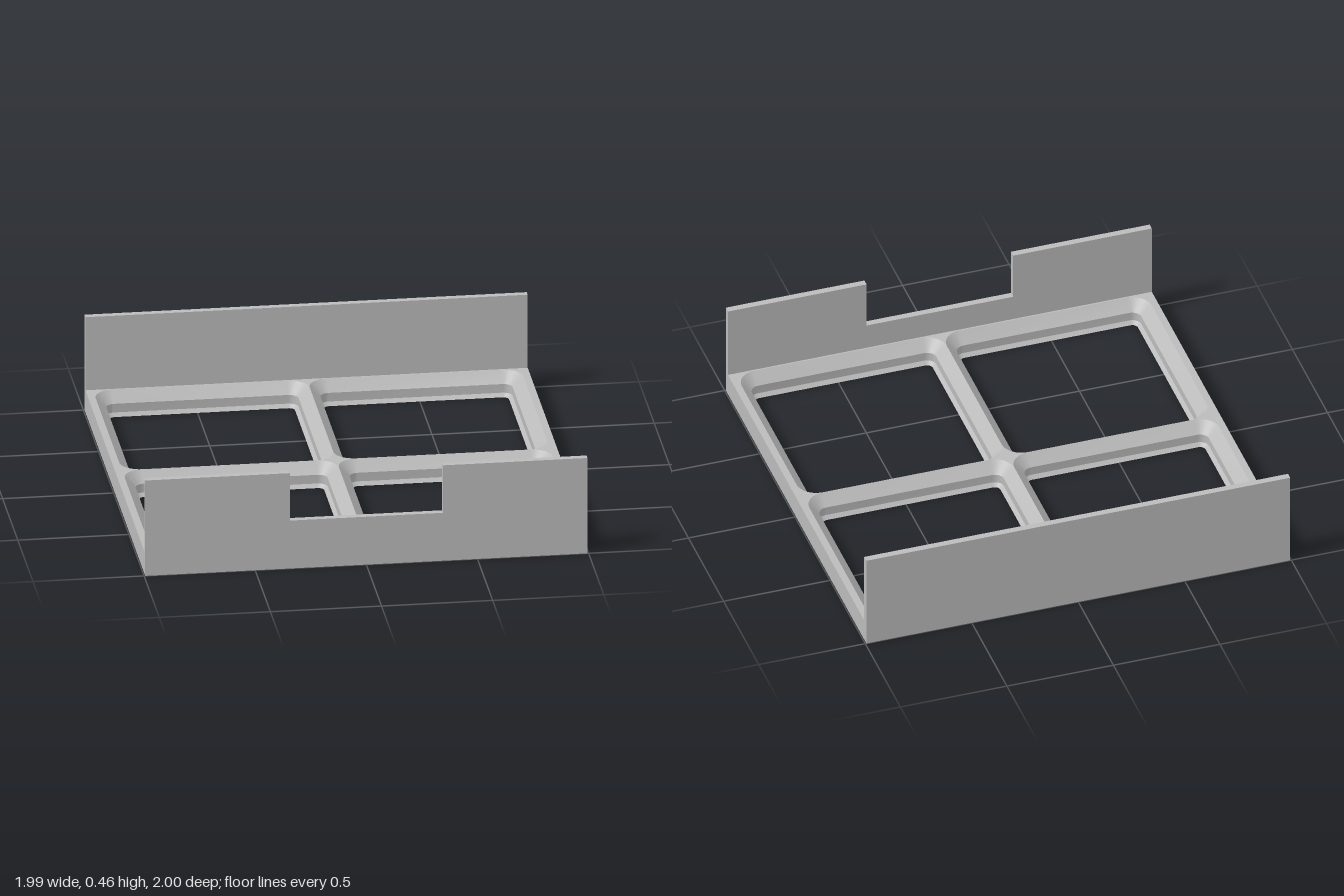
import * as THREE from 'three';
import { toCreasedNormals } from 'three/addons/utils/BufferGeometryUtils.js';

const HALF_X = 0.995, HALF_Z = 1;
const CELL = 0.963;         // pitch of one pocket
const PLATE_H = 0.107;
const WALL_H = 0.458, WALL_T = 0.031;

// Counter-clockwise rounded square contour seen from above
function roundedSquare(cx, cy, half, r) {
  const points = [], segments = 8;
  for (let corner = 0; corner < 4; corner++) {
    const sx = corner === 0 || corner === 3 ? 1 : -1;
    const sy = corner < 2 ? 1 : -1;
    for (let i = 0; i <= segments; i++) {
      const a = (corner + i / segments) * Math.PI / 2;
      points.push(new THREE.Vector2(
        cx + sx * (half - r) + r * Math.cos(a),
        cy + sy * (half - r) + r * Math.sin(a)));
    }
  }
  return points;
}

// Skin between stacked contours: rising rings face out, falling rings face in
function loft(rings) {
  const n = rings[0].points.length, positions = [], index = [];
  for (const { points, y } of rings) {
    for (const p of points) positions.push(p.x, y, -p.y);
  }
  for (let k = 0; k < rings.length - 1; k++) {
    for (let i = 0; i < n; i++) {
      const a = k * n + i, b = k * n + (i + 1) % n;
      index.push(a, b, b + n, a, b + n, a + n);
    }
  }
  const geometry = new THREE.BufferGeometry();
  geometry.setAttribute('position', new THREE.Float32BufferAttribute(positions, 3));
  geometry.setIndex(index);
  return toCreasedNormals(geometry, 0.5);
}

export function createModel() {
  const model = new THREE.Group();
  model.name = 'gridTray';
  const grey = new THREE.MeshStandardMaterial({ color: 0xbbbbbb });
  grey.name = 'grey';

  const add = (name, geometry) => {
    const mesh = new THREE.Mesh(geometry, grey);
    mesh.name = name;
    model.add(mesh);
    return mesh;
  };

  // Pocket profile from top to bottom: wide chamfer, straight wall, small chamfer
  const profile = [
    { y: PLATE_H, inset: 0.0005 },
    { y: 0.0574, inset: 0.0494 },
    { y: 0.016, inset: 0.0494 },
    { y: 0, inset: 0.0654 },
  ];
  const centres = [];
  for (const sx of [-1, 1]) for (const sy of [-1, 1]) centres.push([sx * CELL / 2, sy * CELL / 2]);
  const pocketRing = ([cx, cy], { inset }) =>
    roundedSquare(cx, cy, CELL / 2 - inset, 0.0918 - inset);

  for (const c of centres) {
    add('pocketWall', loft(profile.map((p) => ({ y: p.y, points: pocketRing(c, p) }))));
  }

  // Top and bottom faces of the grid plate, pierced by the pockets
  const outline = [[-1, -1], [1, -1], [1, 1], [-1, 1]]
    .map(([x, y]) => new THREE.Vector2(x * HALF_X, y * HALF_Z));
  const plateFace = (step) => {
    const shape = new THREE.Shape(outline);
    for (const c of centres) shape.holes.push(new THREE.Path(pocketRing(c, step)));
    return new THREE.ShapeGeometry(shape);
  };
  add('plateTop', plateFace(profile[0]).rotateX(-Math.PI / 2)).position.y = PLATE_H;
  add('plateBottom', plateFace(profile[3]).rotateX(Math.PI / 2));

  // Outer rim of the plate
  add('plateRim', loft([{ y: 0, points: outline }, { y: PLATE_H, points: outline }]));

  // Upright panels; the front one has a notch in its top edge
  const panel = (notched) => {
    const notch = notched ? [[0.344, WALL_H], [0.344, 0.23], [-0.344, 0.23], [-0.344, WALL_H]] : [];
    const points = [[-HALF_X, PLATE_H], [HALF_X, PLATE_H], [HALF_X, WALL_H], ...notch, [-HALF_X, WALL_H]];
    const shape = new THREE.Shape(points.map(([x, y]) => new THREE.Vector2(x, y)));
    return new THREE.ExtrudeGeometry(shape, { depth: WALL_T, bevelEnabled: false });
  };
  add('frontPanel', panel(true)).position.z = HALF_Z - WALL_T;
  add('backPanel', panel(false)).position.z = -HALF_Z;

  return model;
}
